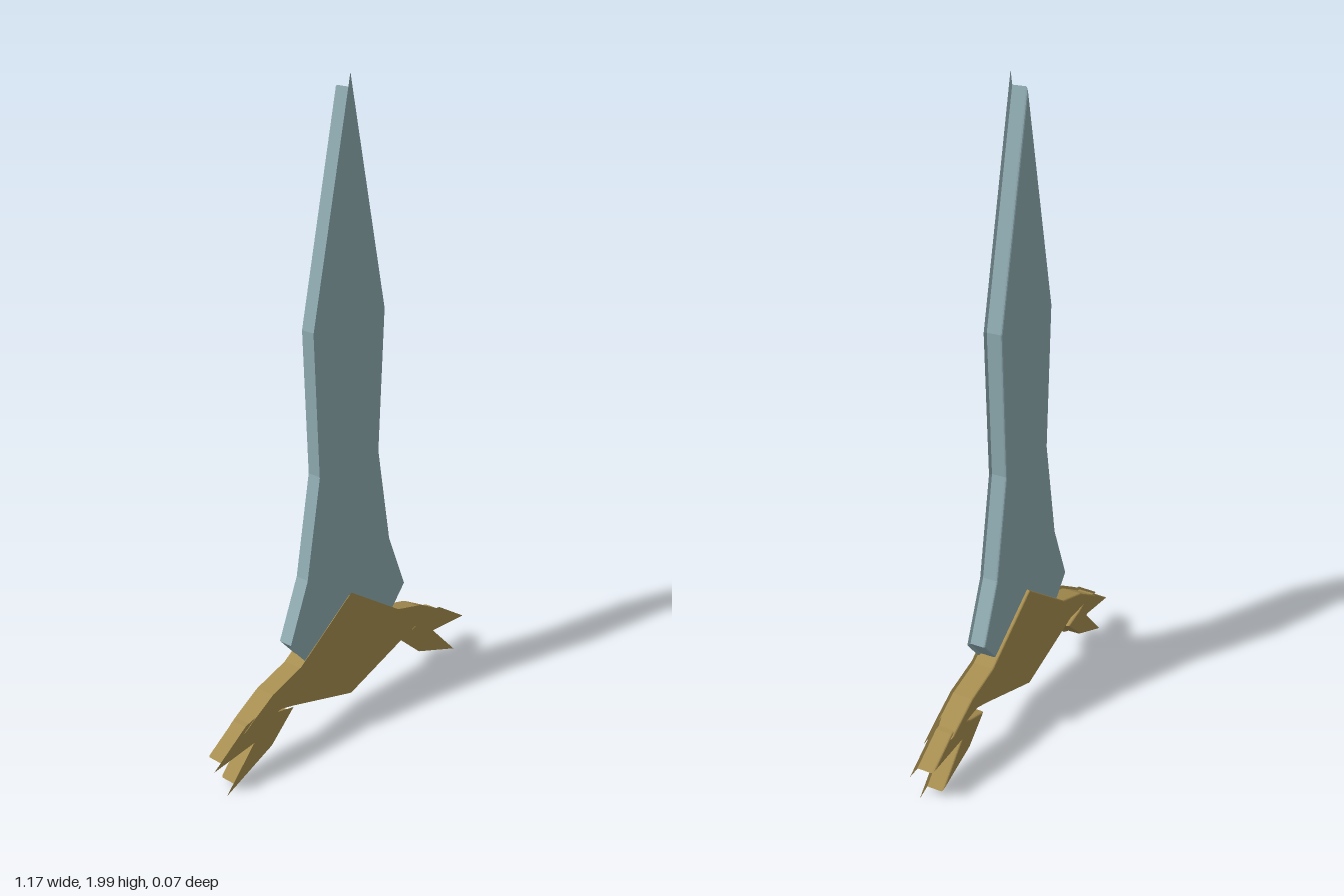
import * as THREE from 'three';

// Move a counter-clockwise outline inwards by d, with mitred corners.
function inset(pts, d) {
  const n = pts.length;
  return pts.map((p, i) => {
    const a = p.clone().sub(pts[(i + n - 1) % n]).normalize();
    const b = pts[(i + 1) % n].clone().sub(p).normalize();
    const n1 = new THREE.Vector2(-a.y, a.x);
    const n2 = new THREE.Vector2(-b.y, b.x);
    const k = d / (1 + n1.dot(n2));
    return p.clone().add(n1.add(n2).multiplyScalar(k));
  });
}

// Plate with a thin sharp lip at the front and a softened back edge.
function plate(name, pts, front, back, material) {
  const sections = [
    [front, 0], [front - 0.005, 0.0085], [back + 0.006, 0.0085],
    [back + 0.002, 0.0095], [back, 0.012],
  ].map(([z, d]) => inset(pts, d).map((p) => new THREE.Vector3(p.x, p.y, z)));
  const pos = [];
  const tri = (...vs) => vs.forEach((v) => pos.push(v.x, v.y, v.z));
  const first = sections[0];
  const last = sections[sections.length - 1];
  for (const [a, b, c] of THREE.ShapeUtils.triangulateShape(pts.slice(), [])) {
    tri(first[a], first[b], first[c]);
    tri(last[a], last[c], last[b]);
  }
  for (let s = 0; s < sections.length - 1; s++) {
    const f = sections[s];
    const r = sections[s + 1];
    for (let i = 0; i < pts.length; i++) {
      const j = (i + 1) % pts.length;
      tri(f[i], r[i], r[j]);
      tri(f[i], r[j], f[j]);
    }
  }
  const geo = new THREE.BufferGeometry();
  geo.setAttribute('position', new THREE.Float32BufferAttribute(pos, 3));
  geo.computeVertexNormals();
  const mesh = new THREE.Mesh(geo, material);
  mesh.name = name;
  return mesh;
}

const vec = (list) => list.map(([x, y]) => new THREE.Vector2(x, y));
const flip = (list) => list.map(([x, y]) => [-x, y]).reverse();
// Right half, from bottom centre to top centre, closed by its mirror image.
const symmetric = (half) => vec([...half, ...flip(half.slice(1, -1))]);

export function createModel() {
  const steel = new THREE.MeshStandardMaterial({ color: 0x8fabb1 });
  steel.name = 'blue grey steel';
  const gold = new THREE.MeshStandardMaterial({ color: 0xa68d50 });
  gold.name = 'dull gold';

  const group = new THREE.Group();
  group.name = 'winged blade';

  // Long waisted blade
  group.add(plate('blade', symmetric([
    [0, 0.2], [0.14, 0.24], [0.205, 0.305], [0.265, 0.372], [0.187, 0.56],
    [0.131, 0.87], [0.153, 1.31], [0, 2],
  ]), 0.027, -0.026, steel));

  // Central guard with drooping wing tips
  group.add(plate('guard', symmetric([
    [0, 0.098], [0.26, 0.18], [0.315, 0.195], [0.5, 0.168],
    [0.434, 0.21], [0.347, 0.26], [0.228, 0.295], [0, 0.45],
  ]), 0.035, -0.036, gold));

  // Forked claw beneath each wing
  const claw = [
    [0.254, 0.168], [0.35, 0.083], [0.54, 0.008], [0.423, 0.129],
    [0.587, 0.114], [0.455, 0.203], [0.4, 0.215], [0.344, 0.19],
  ];
  group.add(plate('leftClaw', vec(claw), 0.027, -0.031, gold));
  group.add(plate('rightClaw', vec(flip(claw)), 0.027, -0.031, gold));

  // Stand on the ground
  group.children.forEach((m) => m.geometry.translate(0, -0.004, 0));
  return group;
}
